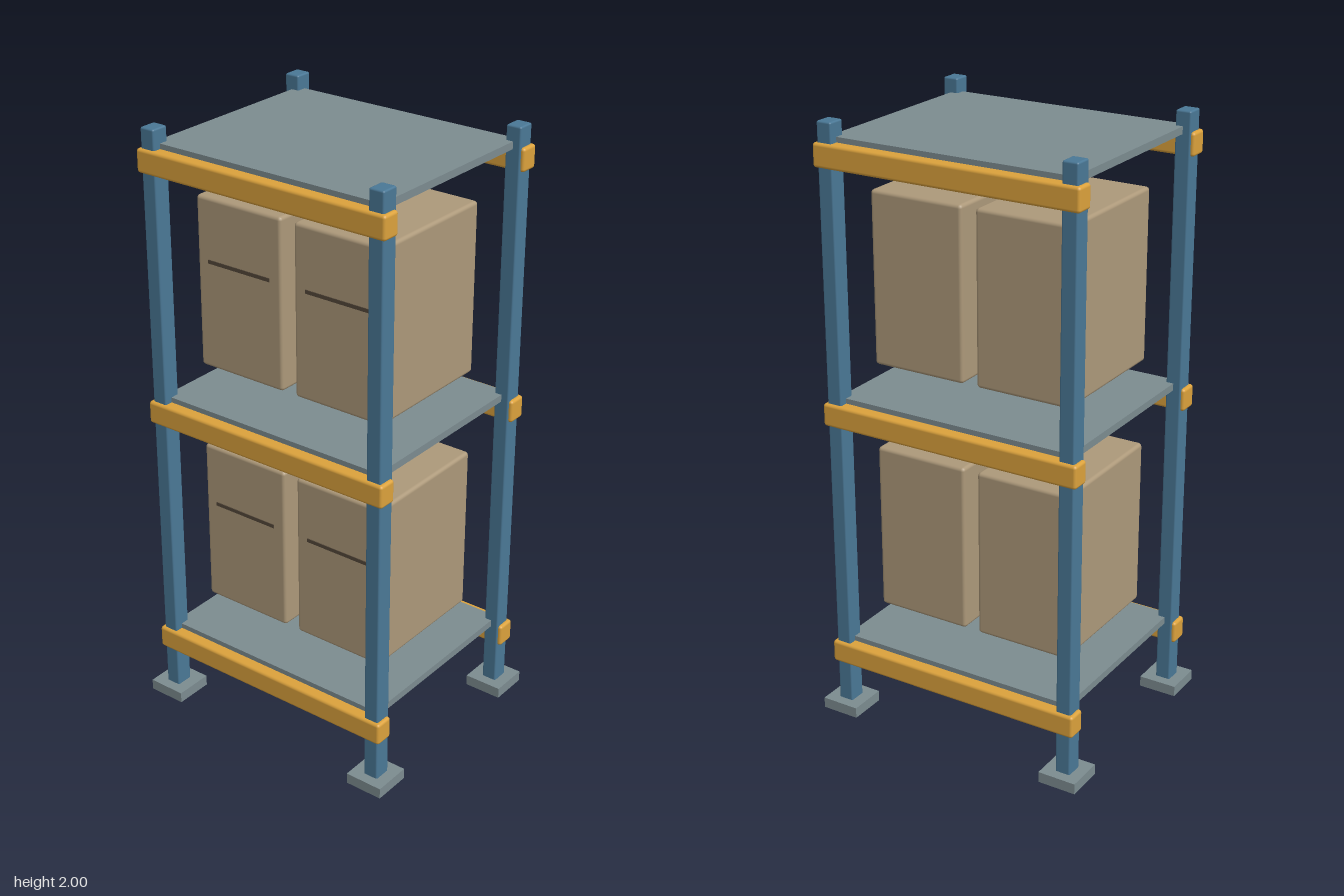
import * as THREE from 'three';
import { RoundedBoxGeometry } from 'three/addons/geometries/RoundedBoxGeometry.js';

const paint = (color) => new THREE.MeshStandardMaterial({ color });

export function createModel() {
  const rack = new THREE.Group();
  rack.name = 'storageRack';

  const blue = paint(0x4a7896);
  const orange = paint(0xdca23c);
  const steel = paint(0x7c8c90);
  const cardboard = paint(0xad997a);
  const dark = paint(0x54483a);

  // Box given by size and centre; a radius softens its edges
  function block(name, material, [w, h, d], [x, y, z], radius = 0) {
    const geometry = radius
      ? new RoundedBoxGeometry(w, h, d, 2, radius)
      : new THREE.BoxGeometry(w, h, d);
    const mesh = new THREE.Mesh(geometry, material);
    mesh.name = name;
    mesh.position.set(x, y, z);
    rack.add(mesh);
  }

  // Four uprights on foot plates
  for (const sx of [-1, 1]) {
    for (const sz of [-1, 1]) {
      const side = (sz > 0 ? 'front' : 'back') + (sx > 0 ? 'Left' : 'Right');
      block(side + 'Post', blue, [0.052, 2, 0.06], [sx * 0.418, 1, sz * 0.338], 0.006);
      block(side + 'FootPlate', steel, [0.13, 0.036, 0.13], [sx * 0.417, 0.021, sz * 0.338]);
    }
  }

  // Three levels: front and back beams carrying a deck
  [0.217, 1.064, 1.897].forEach((y, i) => {
    for (const sz of [-1, 1]) {
      const name = (sz > 0 ? 'frontBeam' : 'backBeam') + (i + 1);
      block(name, orange, [0.912, 0.076, 0.065], [0, y, sz * 0.346], 0.01);
    }
    block('deck' + (i + 1), steel, [0.836, 0.024, 0.682], [0, y + 0.043, 0]);
  });

  // Two cartons per bay, each with a dark strip on the front
  [0.642, 1.491].forEach((y, i) => {
    for (const sx of [-1, 1]) {
      const side = (sx > 0 ? 'Left' : 'Right') + (i + 1);
      block('carton' + side, cardboard, [0.328, 0.566, 0.475], [sx * 0.188, y, 0], 0.012);
      block('strip' + side, dark, [0.24, 0.012, 0.008], [sx * 0.188, y + 0.076, 0.2365]);
    }
  });

  return rack;
}
